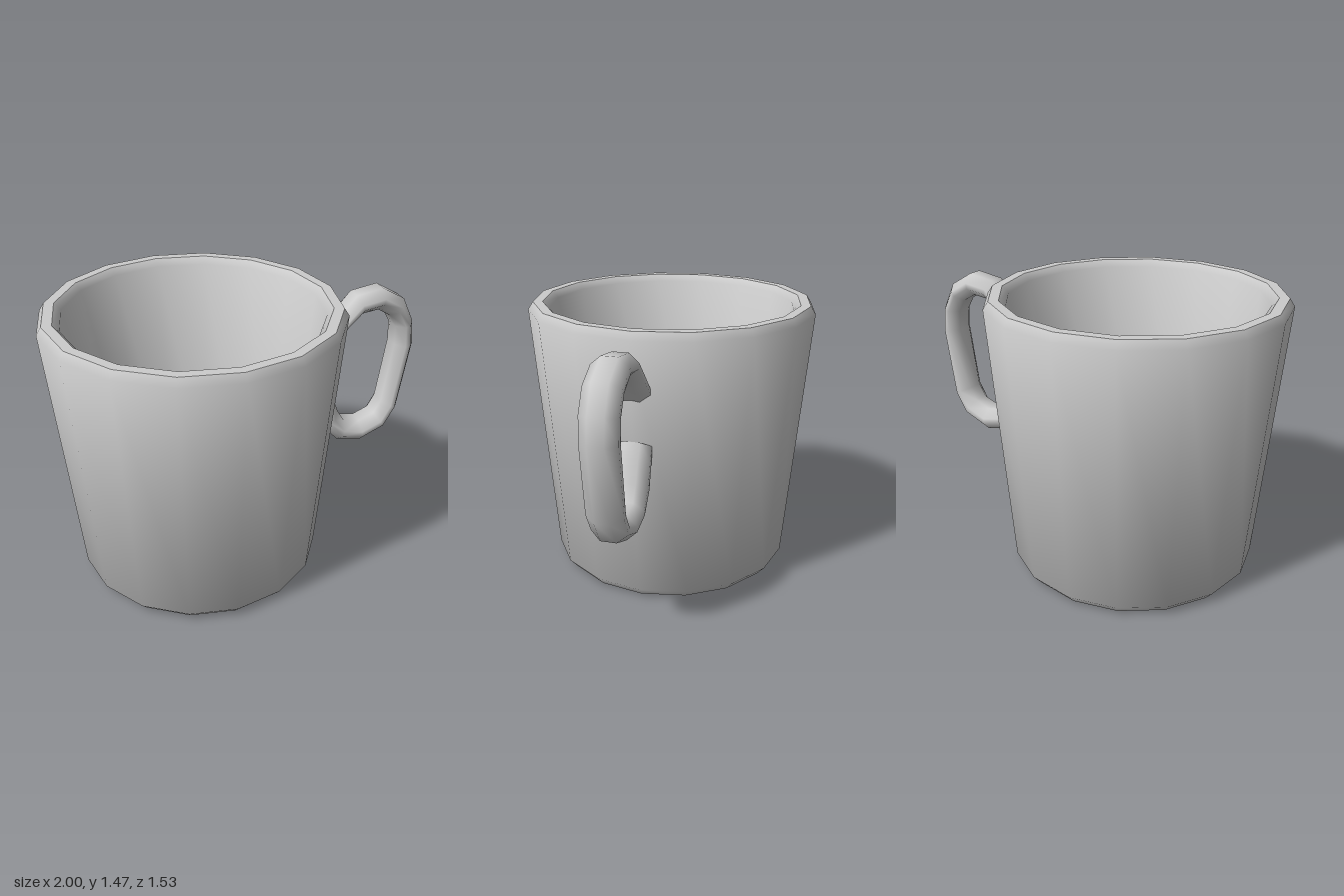
import * as THREE from 'three';
import { toCreasedNormals } from 'three/addons/utils/BufferGeometryUtils.js';

const material = new THREE.MeshStandardMaterial({ color: 0xcccccc });

// 16-sided body: bevelled foot, tapered wall, bevelled rim, inner wall and floor
function createBody() {
  const profile = [
    [0, 0], [0.605, 0], [0.65, 0.05], [0.764, 1.43], [0.738, 1.47],
    [0.687, 1.47], [0.655, 1.435], [0.55, 0.07], [0, 0.07],
  ].map(([r, y]) => new THREE.Vector2(r, y));
  const body = new THREE.Mesh(toCreasedNormals(new THREE.LatheGeometry(profile, 16), 0.75), material);
  body.name = 'cupBody';
  body.position.x = -0.238;
  return body;
}

// Eight-sided flattened tube; each section spans an outer and an inner point
function createHandle() {
  const sections = [ // outer x, y, inner x, y
    [0.445, 1.2, 0.485, 1.12],
    [0.54, 1.3, 0.575, 1.215],
    [0.64, 1.41, 0.68, 1.305],
    [0.79, 1.432, 0.77, 1.315],
    [0.92, 1.355, 0.845, 1.27],
    [0.985, 1.22, 0.885, 1.2],
    [1.0, 1.09, 0.89, 1.09],
    [0.94, 0.7, 0.84, 0.745],
    [0.865, 0.573, 0.8, 0.675],
    [0.72, 0.513, 0.71, 0.64],
    [0.577, 0.547, 0.615, 0.66],
    [0.475, 0.66, 0.57, 0.735],
    [0.445, 0.79, 0.53, 0.845],
    [0.44, 0.87, 0.485, 0.92],
  ];
  // Cross-section corners: across the outer-inner span, and sideways
  const corners = [
    [1, 0.04], [0.25, 0.092], [-0.25, 0.092], [-1, 0.04],
    [-1, -0.04], [-0.25, -0.092], [0.25, -0.092], [1, -0.04],
  ];
  const sides = corners.length, last = sections.length - 1;
  const positions = [], indices = [];
  const centre = ([ox, oy, ix, iy]) => [(ox + ix) / 2, (oy + iy) / 2];

  for (const s of sections) {
    const [cx, cy] = centre(s);
    for (const [u, z] of corners) {
      positions.push(cx + (s[0] - cx) * u, cy + (s[1] - cy) * u, z);
    }
  }
  // End cap centres
  const capA = positions.length / 3, capB = capA + 1;
  positions.push(...centre(sections[0]), 0, ...centre(sections[last]), 0);

  for (let k = 0; k < sides; k++) {
    const n = (k + 1) % sides;
    for (let i = 0; i < last; i++) {
      const a = i * sides + k, b = i * sides + n;
      indices.push(a, b, a + sides, b, b + sides, a + sides);
    }
    indices.push(capA, n, k, capB, last * sides + k, last * sides + n);
  }
  const geometry = new THREE.BufferGeometry();
  geometry.setAttribute('position', new THREE.Float32BufferAttribute(positions, 3));
  geometry.setIndex(indices);
  const handle = new THREE.Mesh(toCreasedNormals(geometry, 1.3), material);
  handle.name = 'handle';
  return handle;
}

export function createModel() {
  const cup = new THREE.Group();
  cup.name = 'cup';
  cup.add(createBody(), createHandle());
  return cup;
}
